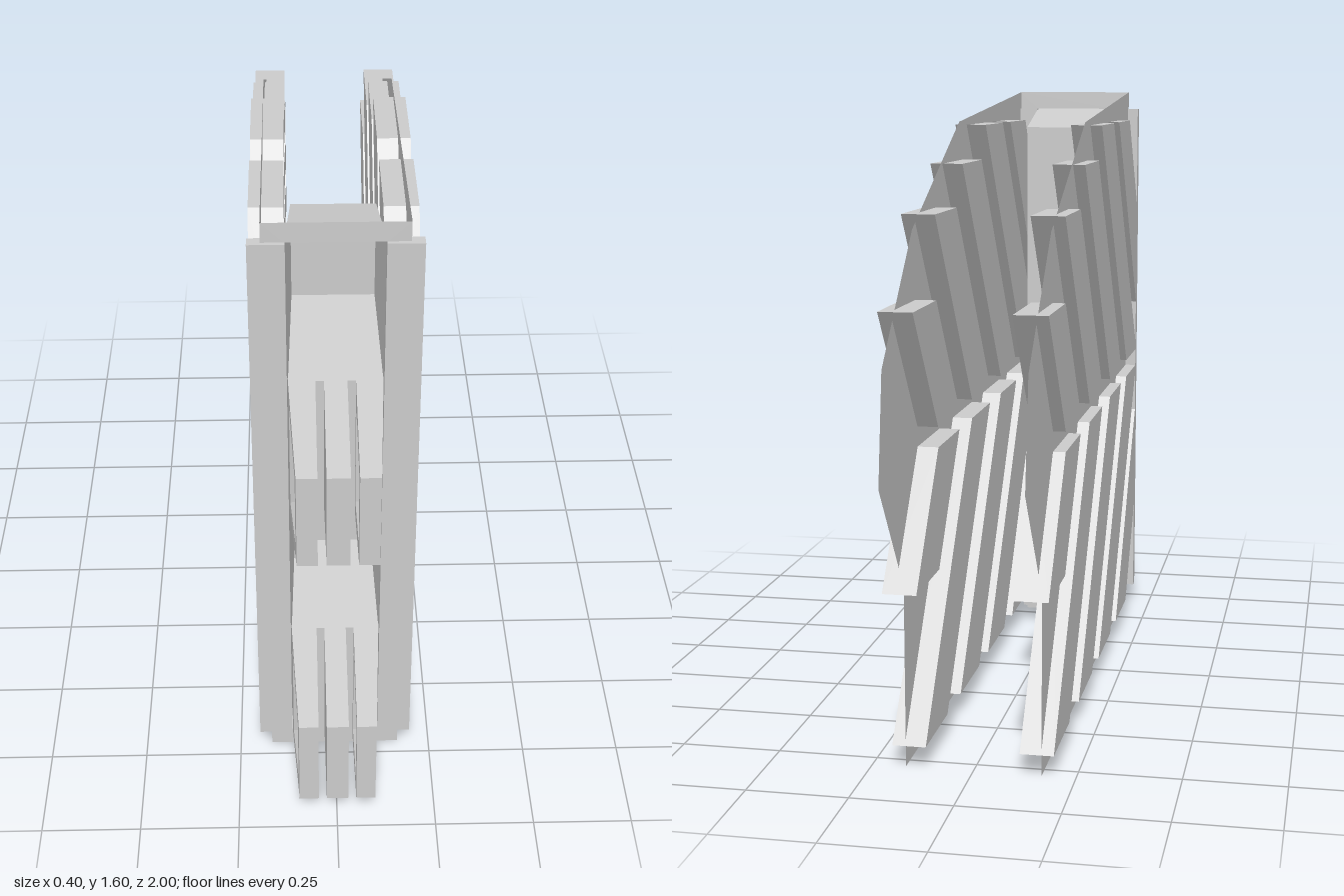
import * as THREE from 'three';

const grey = new THREE.MeshStandardMaterial({ color: 0xcccccc, flatShading: true, side: THREE.DoubleSide });

function add(parent, name, geometry) {
  const mesh = new THREE.Mesh(geometry, grey);
  mesh.name = name;
  parent.add(mesh);
  return mesh;
}

// Join four-cornered rings into a faceted skin, with optional end caps.
function loft(rings, capStart, capEnd) {
  const index = [];
  for (let r = 0; r < rings.length - 1; r++) {
    for (let i = 0; i < 4; i++) {
      const a = r * 4 + i, b = r * 4 + (i + 1) % 4;
      index.push(a, b, b + 4, a, b + 4, a + 4);
    }
  }
  const e = (rings.length - 1) * 4;
  if (capStart) index.push(0, 2, 1, 0, 3, 2);
  if (capEnd) index.push(e, e + 1, e + 2, e, e + 2, e + 3);
  const g = new THREE.BufferGeometry();
  g.setAttribute('position', new THREE.Float32BufferAttribute(rings.flat(2), 3));
  g.setIndex(index);
  const flat = g.toNonIndexed();
  flat.computeVertexNormals();
  return flat;
}

// Rectangle across the model at depth z
const rect = (z, halfW, y0, y1) => [[-halfW, y0, z], [halfW, y0, z], [halfW, y1, z], [-halfW, y1, z]];

// Outline given as [z, y] pairs, turned to lie in the side plane
const sideShape = pts => new THREE.Shape(pts.map(([z, y]) => new THREE.Vector2(-z, y)));

function sideSlab(shape, x, depth) {
  return new THREE.ExtrudeGeometry(shape, { depth, bevelEnabled: false }).rotateY(Math.PI / 2).translate(x, 0, 0);
}

const plateOutline = [[0.71, 0], [-0.79, 0], [-0.79, 0.45], [-1, 0.735], [-0.96, 1], [-0.67, 1.29], [-0.16, 1.53], [0.71, 1.6]];

// Slanted panel running from height y0 at depths z, z - 0.23 to height y1
function slant(z, y0, y1) {
  const shift = Math.abs(y1 - y0) * 0.766;
  return [[z, y0], [z - 0.23, y0], [z - 0.23 - shift, y1], [z - shift, y1]];
}

const panels = [
  // upper row
  [[0.69, 1.26], [0.69, 0.96], [0.27, 1.52], [0.5, 1.52]],
  [[0.69, 0.81], [0.47, 0.81], [-0.07, 1.52], [0.16, 1.52], [0.69, 0.83]],
  slant(0.35, 0.81, 1.43),
  slant(-0.03, 0.81, 1.325),
  slant(-0.41, 0.81, 1.12),
  // lower row
  [[0.69, 0.62], [0.69, 0.32], [0.5, 0.055], [0.28, 0.055]],
  [[0.69, 0.76], [0.47, 0.76], [-0.07, 0.055], [0.16, 0.055], [0.69, 0.745]],
  slant(0.35, 0.76, 0.055),
  slant(-0.03, 0.76, 0.055),
  slant(-0.41, 0.76, 0.455),
];

function createSide() {
  const side = new THREE.Group();
  add(side, 'sidePlate', new THREE.ShapeGeometry(sideShape(plateOutline)).rotateY(Math.PI / 2).translate(0.167, 0, 0));
  for (const p of panels) add(side, 'slantedPanel', sideSlab(sideShape(p), 0.115, 0.083));
  add(side, 'frontStrip', new THREE.BoxGeometry(0.085, 1.5, 0.03).translate(0.155, 0.8, 0.705));
  add(side, 'rearTab', new THREE.BoxGeometry(0.048, 0.06, 0.3).translate(0.08, 0.08, 0.56));
  return side;
}

// Half height of the wedge-shaped connector at depth z
const halfH = z => 0.125 + 0.236 * (1 - z);
const trapezoid = (zFront, zBack, inset) => [
  [zFront, -halfH(zFront) + inset], [zBack, -halfH(zBack) + inset],
  [zBack, halfH(zBack) - inset], [zFront, halfH(zFront) - inset]];
const ring = (x, zFront, zBack, inset) => trapezoid(zFront, zBack, inset).map(([z, y]) => [x(z), y, z]);

function createConnector(y) {
  const connector = new THREE.Group();
  connector.name = 'connector';
  connector.position.y = y;

  // rear wedge reaching into the tray
  const h1 = halfH(0.72), h2 = halfH(0.45);
  add(connector, 'connectorBase', loft([
    rect(0.45, 0.1, Math.max(-h2, 0.03 - y), h2), rect(0.72, 0.11, -h1, h1)], true, true));

  add(connector, 'middleFin', sideSlab(sideShape(trapezoid(1, 0.71, 0)), -0.027, 0.054));

  // outer fins: tapered frame around a stepped recess
  const outerX = z => 0.095 + 0.054 * (1 - z);
  for (const s of [1, -1]) {
    const fin = new THREE.Group();
    fin.name = 'outerFin';
    fin.scale.x = s;
    const shape = sideShape(trapezoid(1, 0.71, 0));
    shape.holes.push(sideShape(trapezoid(0.96, 0.75, 0.042)));
    const frame = sideSlab(shape, 0.047, 0.048);
    const pos = frame.attributes.position;
    for (let i = 0; i < pos.count; i++) {
      if (pos.getX(i) > 0.07) pos.setX(i, outerX(pos.getZ(i)));
    }
    frame.computeVertexNormals();
    add(fin, 'finFrame', frame);
    add(fin, 'finRecess', loft([
      ring(outerX, 0.96, 0.75, 0.042),
      ring(() => 0.072, 0.93, 0.772, 0.062),
      ring(() => 0.072, 0.9, 0.806, 0.085),
      ring(() => 0.054, 0.875, 0.828, 0.11)], false, true));
    connector.add(fin);
  }
  return connector;
}

export function createModel() {
  const model = new THREE.Group();

  for (const s of [1, -1]) {
    const side = createSide();
    side.name = s > 0 ? 'leftSide' : 'rightSide';
    side.scale.x = s;
    model.add(side);
  }

  // front sheet with a tall opening and two notches in its bottom edge
  const w = 0.167;
  const sheet = new THREE.Shape([
    [-w, 0], [-0.11, 0], [-0.11, 0.04], [-0.055, 0.04], [-0.055, 0], [0.055, 0],
    [0.055, 0.04], [0.11, 0.04], [0.11, 0], [w, 0], [w, 1.6], [-w, 1.6],
  ].map(p => new THREE.Vector2(...p)));
  sheet.holes.push(new THREE.Path([[-0.115, 0.05], [-0.115, 1.55], [0.115, 1.55], [0.115, 0.05]]
    .map(p => new THREE.Vector2(...p))));
  add(model, 'frontSheet', new THREE.ShapeGeometry(sheet).translate(0, 0, 0.71));

  // tapered tray behind the opening
  add(model, 'recessTray', loft([rect(0.45, 0.1, 0.1, 1.5), rect(0.71, 0.115, 0.05, 1.55)], true, false));

  for (const y of [0.228, 0.995]) model.add(createConnector(y));
  return model;
}
